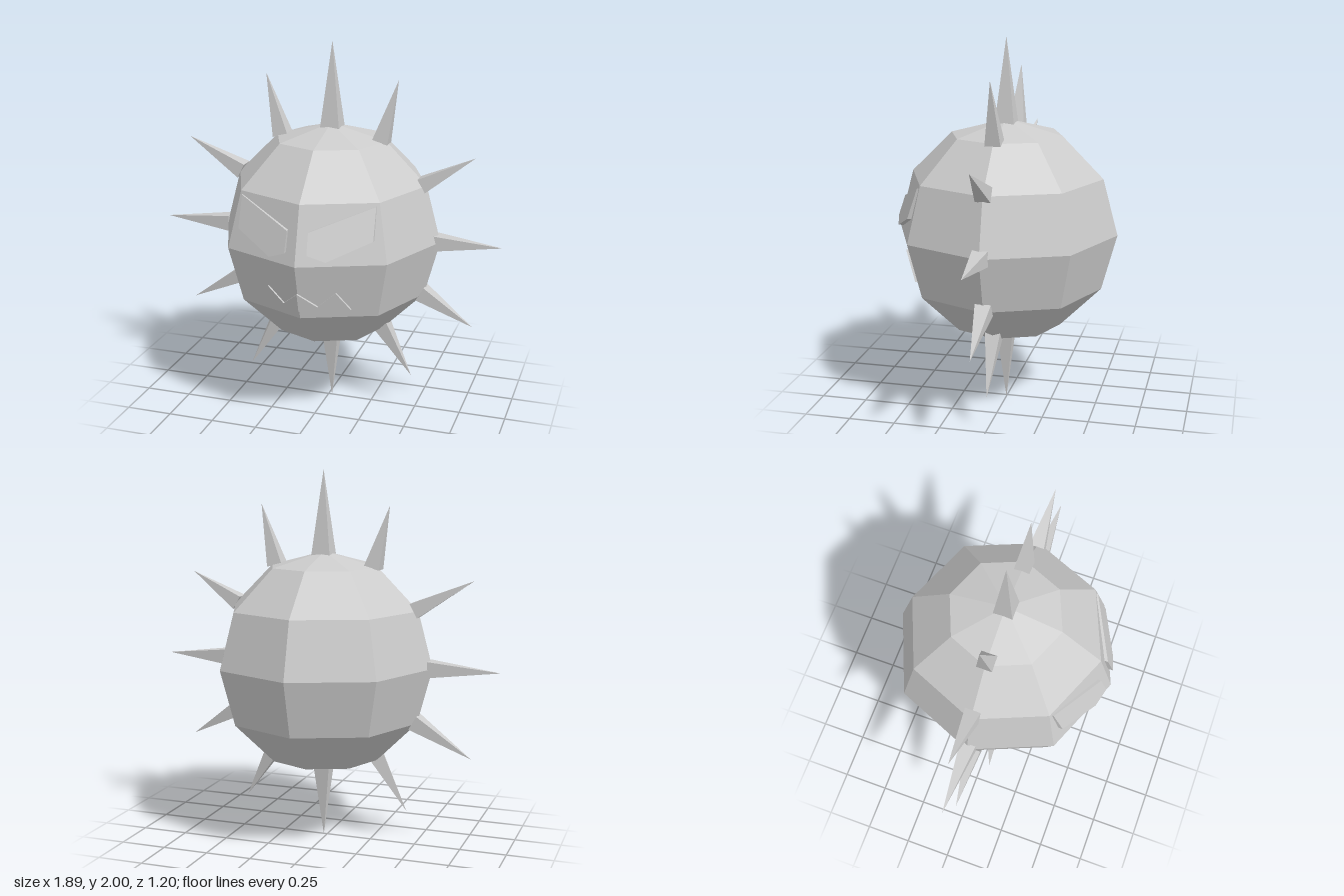
import * as THREE from 'three';

const R = 0.6, CX = 0.015, CY = 0.97;
const material = new THREE.MeshStandardMaterial({ color: 0xcccccc, flatShading: true });
const UP = new THREE.Vector3(0, 1, 0);

// Depth of the two front facets of the body, in body coordinates
function facetZ(x, y) {
  return R * (1 - 0.134 * Math.abs(y) / (R / 2)) - Math.tan(Math.PI / 8) * Math.abs(x);
}

// Thin raised plate that lies on a front facet; side mirrors it in x
function facePlate(name, points, side, lift) {
  const shape = new THREE.Shape(points.map(([x, y]) => new THREE.Vector2(x * side, y - CY)));
  const geometry = new THREE.ExtrudeGeometry(shape, { depth: 1, bevelEnabled: false });
  const p = geometry.attributes.position;
  for (let i = 0; i < p.count; i++) {
    const x = p.getX(i), y = p.getY(i);
    p.setZ(i, facetZ(x, y) + (p.getZ(i) > 0.5 ? lift(y + CY) : -0.03));
  }
  geometry.computeVertexNormals();
  const mesh = new THREE.Mesh(geometry, material);
  mesh.name = name;
  return mesh;
}

// Four-sided spike from a base centre to its tip
function spike(name, base, tip, half) {
  const a = new THREE.Vector3(...base), b = new THREE.Vector3(...tip);
  const length = a.distanceTo(b);
  const geometry = new THREE.ConeGeometry(half * Math.SQRT2, length, 4);
  geometry.rotateY(Math.PI / 4).translate(0, length / 2, 0);
  const mesh = new THREE.Mesh(geometry, material);
  mesh.position.copy(a);
  mesh.quaternion.setFromUnitVectors(UP, b.sub(a).normalize());
  mesh.name = name;
  return mesh;
}

export function createModel() {
  const model = new THREE.Group();
  model.name = 'spikyBall';

  // Faceted body with its face
  const head = new THREE.Group();
  head.name = 'head';
  head.position.set(CX, CY, 0);
  const body = new THREE.Mesh(new THREE.SphereGeometry(R, 8, 6), material);
  body.name = 'body';
  head.add(body);

  const eye = [[0.055, 1.14], [0.355, 1.253], [0.357, 1.09], [0.148, 0.998], [0.058, 1.033]];
  const mouth = [[0, 0.715], [0.245, 0.715], [0.18, 0.817], [0.09, 0.738], [0, 0.817]];
  for (const side of [1, -1]) {
    const label = side > 0 ? 'left' : 'right';
    head.add(facePlate(label + 'Eye', eye, side, y => 0.03 - 0.08 * (y - 1)));
    head.add(facePlate(label + 'Mouth', mouth, side, () => 0.013));
  }
  model.add(head);

  // Ring of spikes: base, tip, half width of the base
  const spikes = [
    ['topSpike', [0.02, 1.52, 0], [0.02, 2, 0], 0.055],
    ['upperLeftSpike', [0.288, 1.49, 0], [0.375, 1.815, 0], 0.042],
    ['shoulderLeftSpike', [0.513, 1.275, 0], [0.785, 1.437, 0], 0.04],
    ['leftSpike', [0.58, 0.97, 0], [0.942, 0.97, 0], 0.042],
    ['lowerLeftSpike', [0.52, 0.68, 0], [0.8, 0.512, 0], 0.042],
    ['footLeftSpike', [0.3, 0.48, 0], [0.475, 0.183, 0], 0.042],
    ['bottomSpike', [0.02, 0.42, 0], [0.02, 0, 0], 0.047],
    ['footRightSpike', [-0.265, 0.48, 0.03], [-0.437, 0.16, 0.06], 0.042],
    ['lowerRightSpike', [-0.49, 0.68, 0], [-0.8, 0.5, 0], 0.042],
    ['rightSpike', [-0.565, 0.97, 0], [-0.945, 0.97, 0], 0.043],
    ['shoulderRightSpike', [-0.487, 1.275, 0], [-0.798, 1.44, 0], 0.042],
    ['upperRightSpike', [-0.258, 1.49, 0], [-0.345, 1.815, 0], 0.042],
  ];
  for (const s of spikes) model.add(spike(...s));
  return model;
}
